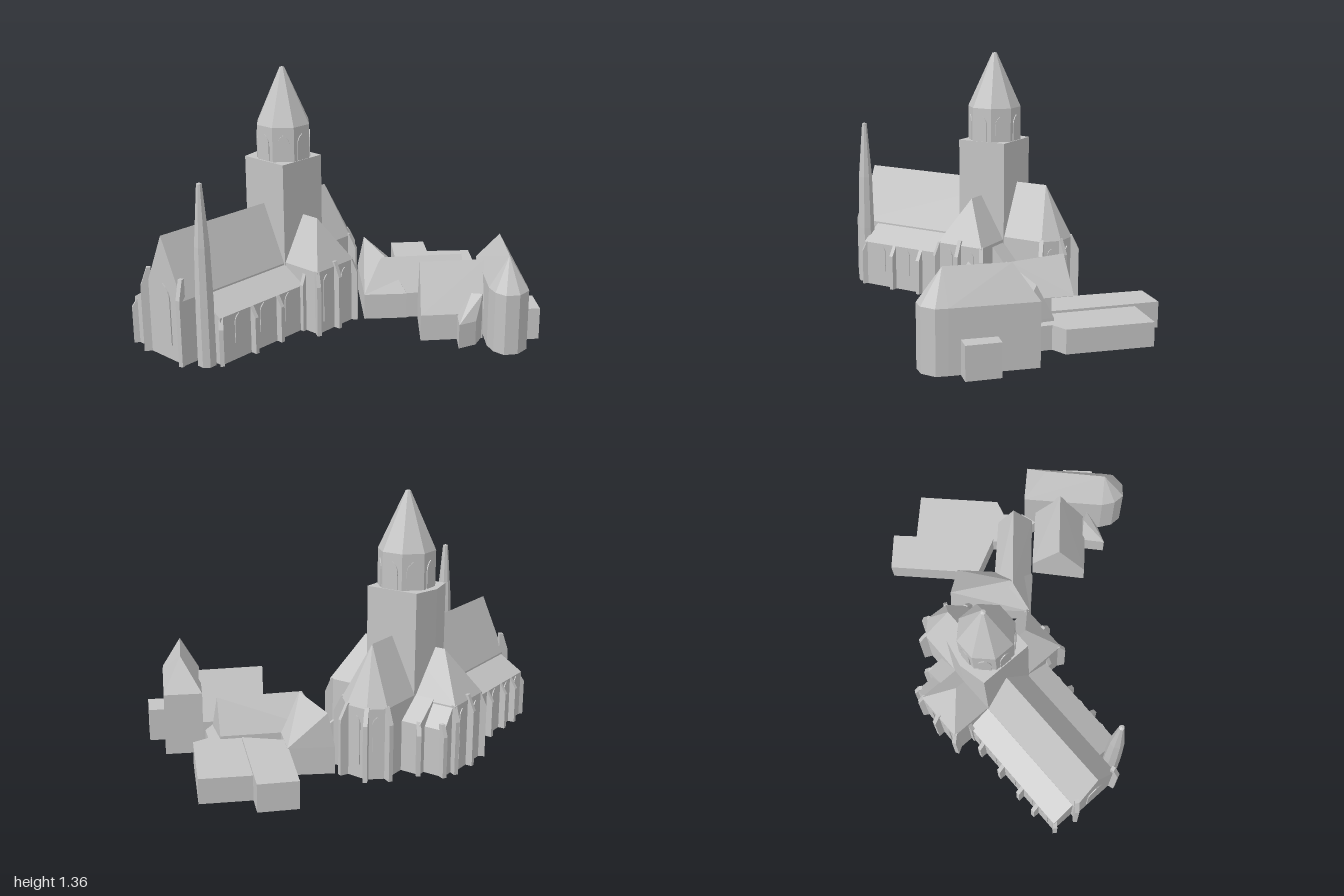
import * as THREE from 'three';
import { ConvexGeometry } from 'three/addons/geometries/ConvexGeometry.js';

export function createModel() {
  const model = new THREE.Group();
  const stone = new THREE.MeshStandardMaterial({ color: 0xc4c4c4 });
  stone.name = 'stone';

  const add = (name, geometry) => {
    const mesh = new THREE.Mesh(geometry, stone);
    mesh.name = name;
    model.add(mesh);
    return mesh;
  };
  // Faceted solid wrapped around [x, y, z] points
  const hull = (name, pts) => add(name, new ConvexGeometry(pts.map(p => new THREE.Vector3(...p))));
  // Walls on a convex [x, z] footprint up to the eaves, with a roof rising to ridge points
  const hall = (name, foot, eave, ridge = [], ridgeY = eave) => hull(name, [
    ...foot.map(([x, z]) => [x, 0, z]),
    ...foot.map(([x, z]) => [x, eave, z]),
    ...ridge.map(([x, z]) => [x, ridgeY, z]),
  ]);
  const rect = (x0, x1, z0, z1) => [[x0, z0], [x1, z0], [x1, z1], [x0, z1]];

  // Stepped-back buttress facing angle a (0 faces +z)
  const buttress = (x, z, a, h, len = 0.035, w = 0.022) => {
    const pts = [];
    for (const s of [-w / 2, w / 2]) {
      pts.push([s, 0, -0.02], [s, 0, len], [s, h * 0.78, len], [s, h * 0.84, len * 0.6], [s, h, 0], [s, h, -0.02]);
    }
    const b = hull('buttress', pts);
    b.position.set(x, 0, z);
    b.rotation.y = a;
  };
  // Pointed window plate facing angle a
  const lancet = (x, y, z, a, w, h) => {
    const s = new THREE.Shape();
    s.moveTo(-w / 2, 0);
    s.lineTo(w / 2, 0);
    s.lineTo(w / 2, h - w * 0.8);
    s.quadraticCurveTo(w / 2, h - w * 0.3, 0, h);
    s.quadraticCurveTo(-w / 2, h - w * 0.3, -w / 2, h - w * 0.8);
    const m = add('window', new THREE.ExtrudeGeometry(s, { depth: 0.006, bevelEnabled: false, curveSegments: 4 }));
    m.position.set(x, y, z);
    m.rotation.y = a;
  };
  // Eight-sided turned tower with flats facing the axes
  const octagon = (name, x, z, profile) => {
    const k = 1 / Math.cos(Math.PI / 8);
    const g = new THREE.LatheGeometry(profile.map(([r, y]) => new THREE.Vector2(r * k, y)), 8).toNonIndexed();
    g.rotateY(Math.PI / 8);
    g.computeVertexNormals();
    add(name, g).position.set(x, 0, z);
  };

  // Nave with gabled west end
  hall('nave', rect(-0.97, 0, -0.587, -0.308), 0.34, [[-0.97, -0.45], [0, -0.45]], 0.645);
  lancet(-0.97, 0.08, -0.45, -Math.PI / 2, 0.1, 0.32);

  // Lean-to aisles
  const aisle = (x0, zWall, zOut) => hull('aisle', [x0, -0.26].flatMap(x => [
    [x, 0, zWall], [x, 0, zOut], [x, 0.25, zOut], [x, 0.335, zWall]]));
  aisle(-0.95, -0.58, -0.715);
  aisle(-0.85, -0.315, -0.175);
  for (const x of [-0.73, -0.56, -0.385]) lancet(x, 0.09, -0.176, 0, 0.055, 0.155);
  for (const x of [-0.88, -0.76, -0.62, -0.465, -0.33]) lancet(x, 0.09, -0.714, Math.PI, 0.05, 0.155);
  for (const x of [-0.64, -0.46]) buttress(x, -0.175, 0, 0.25);
  for (const x of [-0.82, -0.7, -0.545, -0.385]) buttress(x, -0.715, Math.PI, 0.25);
  buttress(-0.84, -0.18, -Math.PI / 4, 0.25, 0.025);
  buttress(-0.94, -0.70, -Math.PI * 0.7, 0.25);
  buttress(-0.968, -0.578, -Math.PI * 0.7, 0.45);
  buttress(-0.968, -0.32, -Math.PI * 0.4, 0.45, 0.03);

  // West stair turret
  octagon('stairTurret', -0.885, -0.243, [[0, 0], [0.045, 0], [0.043, 0.32], [0.036, 0.62], [0.013, 0.93], [0, 0.935]]);

  // Crossing tower with a pointed north face, and its spire
  hall('crossingTower', [[-0.28, -0.302], [0.005, -0.302], [0.005, -0.585], [-0.138, -0.617], [-0.28, -0.585]], 0.878);
  octagon('spire', -0.136, -0.44, [[0, 0.87], [0.135, 0.87], [0.135, 1.06], [0.012, 1.352], [0, 1.356]]);
  for (let i = 0; i < 8; i++) {
    const a = i * Math.PI / 4;
    lancet(-0.136 + 0.134 * Math.sin(a), 0.88, -0.44 + 0.134 * Math.cos(a), a, 0.065, 0.14);
  }

  // Transepts with hipped ends
  for (const [zEnd, zApex, dir] of [[-0.07, -0.2, 1], [-0.815, -0.67, -1]]) {
    hall('transept', rect(-0.275, 0.0, zEnd, -0.44), 0.345, [[-0.138, -0.44], [-0.138, zApex]], 0.58);
    const face = dir > 0 ? 0 : Math.PI;
    for (const x of [-0.207, -0.07]) lancet(x, 0.06, zEnd - dir * 0.001, face, 0.05, 0.26);
    buttress(-0.138, zEnd, face, 0.37);
    for (const s of [-1, 1]) {
      buttress(-0.138 + s * 0.133, zEnd - dir * 0.005, s * (dir > 0 ? Math.PI / 6 : Math.PI * 5 / 6), 0.35, 0.032);
    }
    buttress(-0.27, (zEnd + zApex) / 2 - dir * 0.03, -Math.PI / 2, 0.33, 0.028);
  }

  // Choir ending in a faceted apse
  const apse = [[0.25, -0.585], [0.318, -0.51], [0.312, -0.39], [0.235, -0.308]];
  hall('choir', [[-0.02, -0.587], ...apse, [-0.02, -0.308]], 0.36, [[-0.02, -0.45], [0.185, -0.45]], 0.645);
  apse.forEach(([x, z]) => buttress(x, z, Math.atan2(x - 0.18, z + 0.45), 0.37, 0.04));
  for (let i = 0; i < 3; i++) {
    const [[x0, z0], [x1, z1]] = [apse[i], apse[i + 1]];
    lancet((x0 + x1) / 2, 0.07, (z0 + z1) / 2, Math.atan2(z1 - z0, x0 - x1), 0.045, 0.25);
  }

  // Side chapels in the corners between transepts and choir
  const leanTo = (x0, x1, z0, z1, hIn, hOut) => hull('sideChapel', [z0, z1].flatMap(z => [
    [x0, 0, z], [x1, 0, z], [x1, hOut, z], [x0, hIn, z]]));
  leanTo(-0.01, 0.075, -0.8, -0.58, 0.35, 0.24);
  leanTo(-0.01, 0.12, -0.69, -0.58, 0.36, 0.26);
  leanTo(-0.01, 0.11, -0.32, -0.19, 0.34, 0.2);
  buttress(0.07, -0.79, Math.PI * 0.85, 0.27, 0.025);
  buttress(0.115, -0.68, Math.PI * 0.7, 0.27, 0.03);
  buttress(0.08, -0.2, Math.PI / 4, 0.2, 0.06);

  // Diagonal cloister wings
  hall('northWing', [[0.035, -0.02], [0.345, -0.345], [0.5, -0.17], [0.2, 0.14]], 0.14,
    [[0.2, -0.02], [0.365, -0.315]], 0.315);
  hall('eastWing', [[0.035, -0.02], [0.2, -0.16], [0.57, 0.2], [0.45, 0.355]], 0.14,
    [[0.18, -0.02], [0.51, 0.27]], 0.315);

  // Low flat-roofed buildings to the east
  hall('flatBuilding', [[0.41, -0.09], [0.765, -0.445], [0.91, -0.31], [0.51, 0.11]], 0.138);
  hall('flatBuildingExtension', [[0.40, 0.21], [0.82, -0.215], [1.0, -0.035], [0.68, 0.285]], 0.125);
  hall('flatLink', [[0.43, 0.37], [0.47, 0.22], [0.62, 0.23], [0.52, 0.345]], 0.125);

  // South wing, taller hall with rounded end, and small annexes
  hall('southWing', [[0.02, 0.38], [0.245, 0.18], [0.49, 0.42], [0.26, 0.6]], 0.14,
    [[0.13, 0.28], [0.38, 0.51]], 0.38);
  hall('southHall', [[0.52, 0.36], [0.655, 0.5], [0.345, 0.805], [0.3, 0.845], [0.22, 0.845],
    [0.165, 0.8], [0.165, 0.735], [0.2, 0.67]], 0.32, [[0.51, 0.515], [0.27, 0.74]], 0.49);
  hall('eastAnnex', [[0.46, 0.59], [0.565, 0.7], [0.445, 0.825], [0.34, 0.72]], 0.17);
  hall('westAnnex', [[0.075, 0.585], [0.17, 0.5], [0.27, 0.59], [0.17, 0.62]], 0.13,
    [[0.22, 0.55], [0.25, 0.6]], 0.25);

  return model;
}
